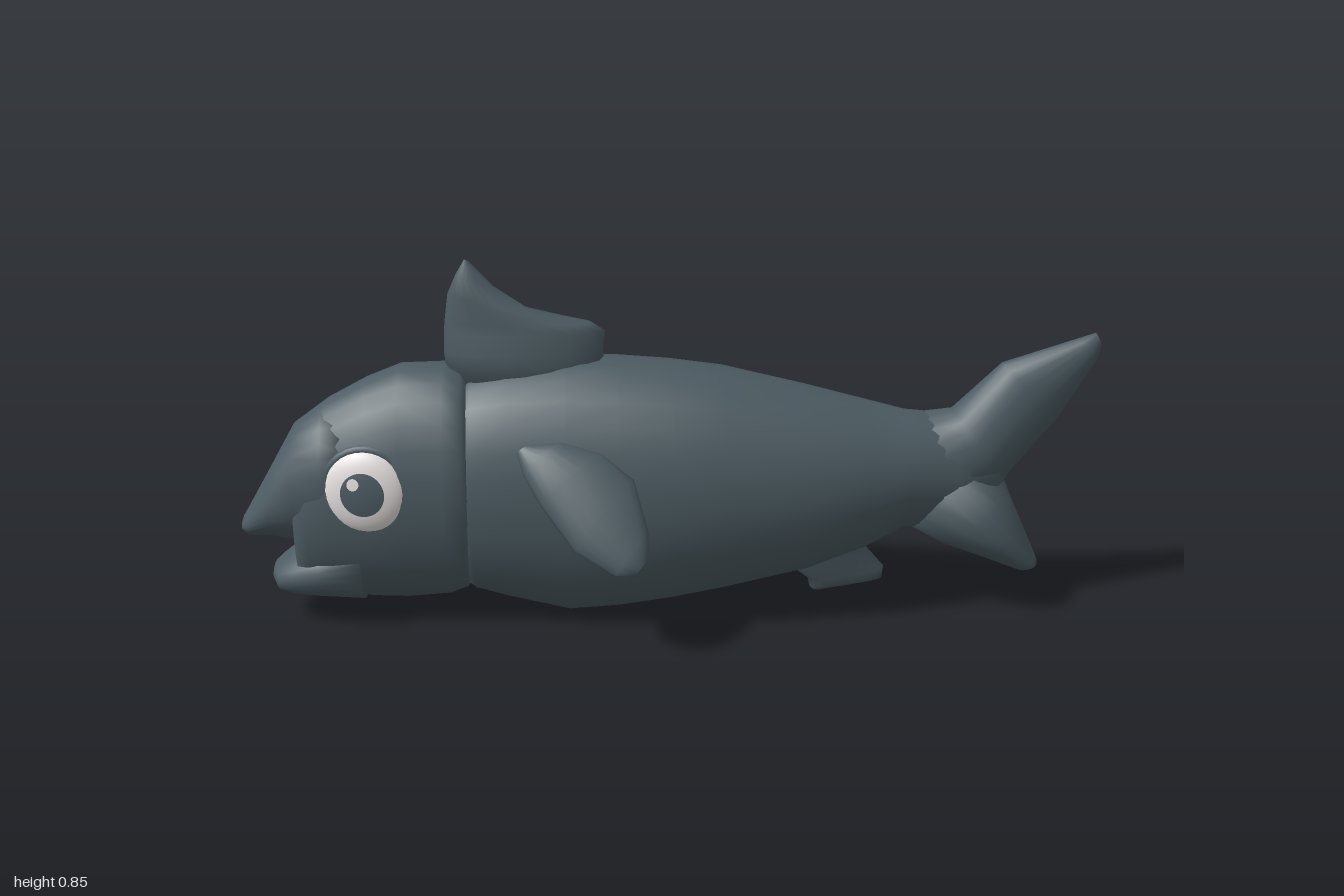
import * as THREE from 'three';

const V = (p) => new THREE.Vector3(p[0], p[1], p[2] || 0);

// Closed smooth loft. Each section is [edgeA, edgeB, halfThickness]:
// an ellipse whose long axis runs from A to B, thickened along `normal`.
function loft(sections, normal = [0, 0, 1], sides = 20) {
  const n = V(normal).normalize();
  const pos = [], idx = [];
  const centres = [];
  for (const [a, b, w] of sections) {
    const A = V(a), B = V(b);
    const c = A.clone().add(B).multiplyScalar(0.5);
    const u = A.clone().sub(c);
    centres.push(c);
    for (let i = 0; i < sides; i++) {
      const t = (i / sides) * Math.PI * 2;
      const p = c.clone().addScaledVector(u, Math.cos(t)).addScaledVector(n, w * Math.sin(t));
      pos.push(p.x, p.y, p.z);
    }
  }
  const last = sections.length - 1;
  const capA = (last + 1) * sides, capB = capA + 1;
  pos.push(...centres[0].toArray(), ...centres[last].toArray());
  for (let i = 0; i < sides; i++) {
    const j = (i + 1) % sides;
    for (let r = 0; r < last; r++) {
      const a = r * sides + i, b = r * sides + j;
      idx.push(a, b, a + sides, b, b + sides, a + sides);
    }
    idx.push(capA, j, i, capB, last * sides + i, last * sides + j);
  }
  // Turn the faces outward whatever direction the sections run in
  let volume = 0;
  const at = (k) => new THREE.Vector3().fromArray(pos, k * 3);
  for (let k = 0; k < idx.length; k += 3) {
    volume += at(idx[k]).dot(at(idx[k + 1]).cross(at(idx[k + 2])));
  }
  if (volume < 0) idx.reverse();
  const g = new THREE.BufferGeometry();
  g.setAttribute('position', new THREE.Float32BufferAttribute(pos, 3));
  g.setIndex(idx);
  g.computeVertexNormals();
  return g;
}

// Upright sections along x: [x, top, bottom, halfWidth]
const along = (rows) => loft(rows.map(([x, top, bottom, w]) => [[x, top], [x, bottom], w]), [0, 0, 1], 28);

export function createModel() {
  const model = new THREE.Group();
  model.name = 'fish';
  const skin = new THREE.MeshStandardMaterial({ color: 0x4c5b62 });
  skin.name = 'slate skin';
  const white = new THREE.MeshStandardMaterial({ color: 0xe6e0e0 });
  white.name = 'eye white';

  const add = (name, geometry, material = skin, parent = model) => {
    const mesh = new THREE.Mesh(geometry, material);
    mesh.name = name;
    parent.add(mesh);
    return mesh;
  };

  // Body and head, meeting in a shallow gill groove
  add('body', along([
    [-0.50, 0.56, 0.09, 0.155], [-0.46, 0.59, 0.06, 0.167], [-0.38, 0.61, 0.037, 0.183],
    [-0.24, 0.625, 0.003, 0.198], [-0.12, 0.621, 0.012, 0.207], [0, 0.61, 0.03, 0.212],
    [0.12, 0.593, 0.053, 0.206], [0.32, 0.543, 0.1, 0.186], [0.45, 0.508, 0.148, 0.155],
    [0.55, 0.481, 0.2, 0.128], [0.66, 0.47, 0.19, 0.11], [0.76, 0.42, 0.26, 0.075],
    [0.79, 0.375, 0.31, 0.03],
  ]));
  add('head', along([
    [-0.465, 0.58, 0.085, 0.163], [-0.48, 0.602, 0.065, 0.178], [-0.52, 0.612, 0.048, 0.176],
    [-0.62, 0.61, 0.04, 0.167], [-0.70, 0.578, 0.043, 0.158], [-0.79, 0.53, 0.051, 0.14],
    [-0.84, 0.493, 0.056, 0.125], [-0.87, 0.44, 0.08, 0.108],
  ]));
  add('snout', along([
    [-0.74, 0.545, 0.15, 0.14], [-0.80, 0.52, 0.17, 0.135], [-0.87, 0.47, 0.185, 0.115],
    [-0.93, 0.365, 0.2, 0.092], [-0.985, 0.27, 0.203, 0.06], [-1, 0.245, 0.215, 0.038],
  ]));
  add('lowerJaw', along([
    [-0.72, 0.25, 0.043, 0.135], [-0.82, 0.2, 0.052, 0.122], [-0.88, 0.168, 0.057, 0.1],
    [-0.92, 0.138, 0.066, 0.075], [-0.935, 0.125, 0.09, 0.04],
  ]));

  // Forked tail
  add('upperTailLobe', loft([
    [[0.54, 0.47], [0.66, 0.22], 0.115], [[0.66, 0.483], [0.79, 0.32], 0.092],
    [[0.77, 0.595], [0.91, 0.465], 0.055], [[0.95, 0.653], [0.99, 0.60], 0.028],
    [[0.985, 0.665], [1, 0.635], 0.014],
  ]));
  add('lowerTailLobe', loft([
    [[0.70, 0.42], [0.53, 0.22], 0.11], [[0.79, 0.31], [0.64, 0.16], 0.13],
    [[0.82, 0.24], [0.73, 0.13], 0.135], [[0.87, 0.13], [0.81, 0.1], 0.095],
    [[0.88, 0.105], [0.84, 0.088], 0.05],
  ]));

  // Fins on the centre line
  add('dorsalFin', loft([
    [[-0.51, 0.56], [-0.15, 0.56], 0.07], [[-0.518, 0.64], [-0.155, 0.64], 0.06],
    [[-0.516, 0.685], [-0.15, 0.685], 0.05], [[-0.514, 0.71], [-0.18, 0.705], 0.045],
    [[-0.505, 0.775], [-0.32, 0.735], 0.036], [[-0.485, 0.82], [-0.4, 0.79], 0.02],
    [[-0.465, 0.853], [-0.455, 0.85], 0.003],
  ]));
  add('analFin', loft([
    [[0.25, 0.16], [0.47, 0.2], 0.05], [[0.28, 0.1], [0.46, 0.15], 0.038],
    [[0.33, 0.062], [0.512, 0.09], 0.03], [[0.335, 0.04], [0.508, 0.06], 0.02],
    [[0.345, 0.03], [0.39, 0.04], 0.008],
  ]));

  // Paired fins and eyes
  const finPoint = ([x, y]) => [x, y, 0.175 + (0.47 - y) * 0.63];
  const finGeometry = loft([
    [[-0.35, 0.455], [-0.325, 0.47], 0.012], [[-0.335, 0.41], [-0.25, 0.475], 0.028],
    [[-0.3, 0.355], [-0.16, 0.45], 0.037], [[-0.225, 0.265], [-0.09, 0.4], 0.036],
    [[-0.135, 0.217], [-0.06, 0.3], 0.027], [[-0.09, 0.218], [-0.06, 0.25], 0.014],
  ].map(([a, b, w]) => [finPoint(a), finPoint(b), w]), [0, 0.53, 0.85]);

  // Dome cap facing +z, sized by its angular radius
  const cap = (radius, angle) =>
    new THREE.SphereGeometry(radius, 32, 10, 0, Math.PI * 2, 0, angle).rotateX(Math.PI / 2);

  for (const side of [1, -1]) {
    const half = new THREE.Group();
    half.name = side > 0 ? 'leftSide' : 'rightSide';
    half.scale.z = side;
    model.add(half);
    add('pectoralFin', finGeometry, skin, half);

    const eye = new THREE.Group();
    eye.name = 'eye';
    eye.position.set(-0.695, 0.352, 0.137);
    eye.rotation.set(-0.06, -0.16, 0);
    half.add(eye);
    add('eyelidRim', new THREE.TorusGeometry(0.097, 0.011, 8, 32), skin, eye);
    const ball = new THREE.Group();
    ball.name = 'eyeball';
    ball.scale.set(0.098, 0.098, 0.036);
    eye.add(ball);
    add('eyeWhite', cap(1, Math.PI / 2), white, ball);
    add('pupil', cap(1.03, 0.53), skin, ball);
    add('eyeGlint', cap(1.06, 0.14).rotateX(-0.24).rotateY(-0.2), white, ball);
  }
  return model;
}
